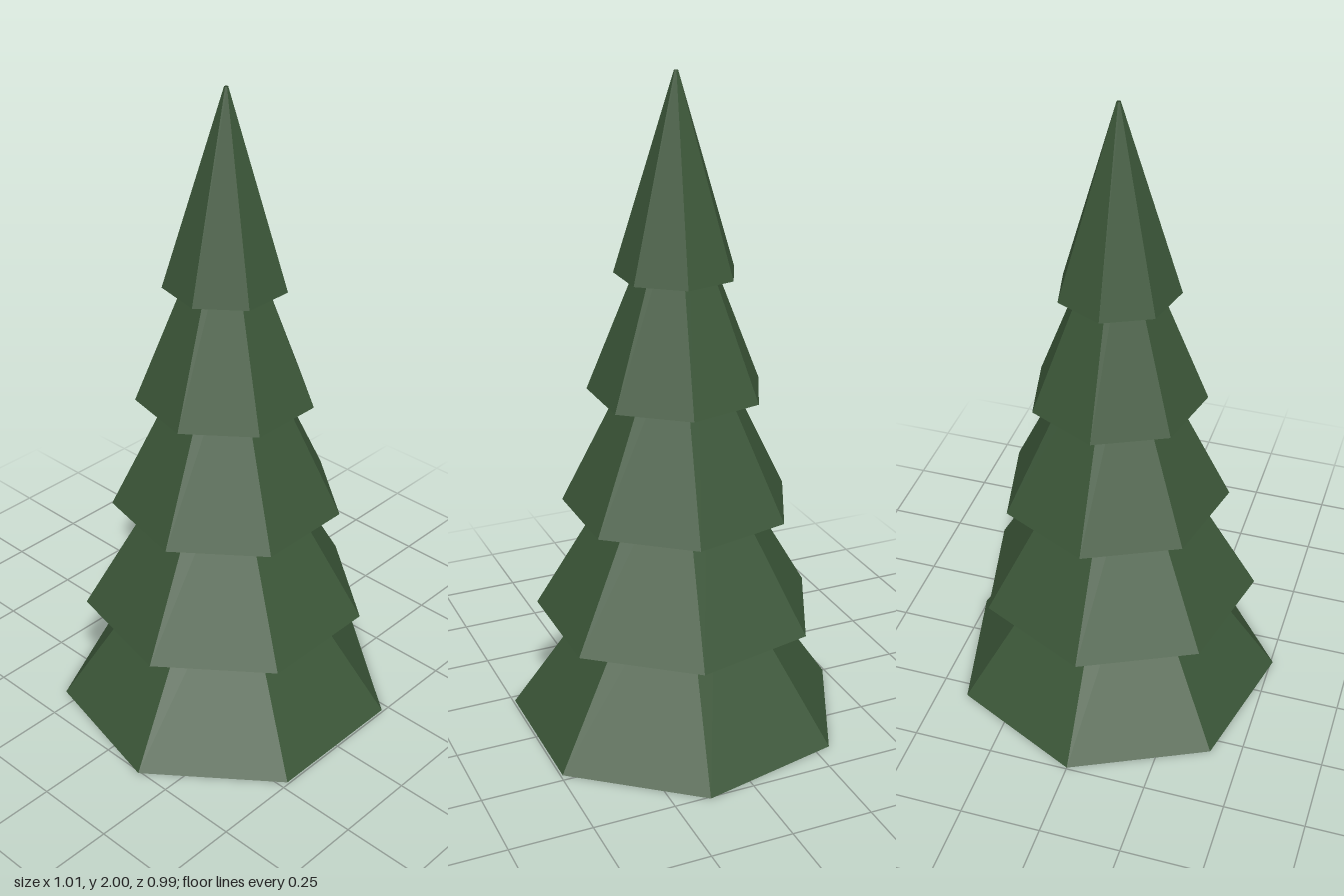
import * as THREE from 'three';

export function createModel() {
  const tree = new THREE.Group();
  tree.name = 'pineTree';

  const needles = new THREE.MeshStandardMaterial({ color: 0x3b5638, side: THREE.DoubleSide, flatShading: true });
  needles.name = 'needleGreen';

  // Five overlapping, hollow seven-sided skirts, each a little off the axis
  const count = 5, step = 0.356, height = 0.576;
  const offsets = [0, -0.005, 0.005, -0.003, -0.004];

  for (let i = 0; i < count; i++) {
    const bottom = 0.52 - 0.0845 * i;
    const top = 0.128 - 0.0305 * i;
    const geometry = new THREE.CylinderGeometry(top, bottom, height, 7, 1, true);
    geometry.rotateY(Math.PI); // one corner points to the back
    const tier = new THREE.Mesh(geometry, needles);
    tier.name = 'branchTier' + (i + 1);
    tier.position.set(offsets[i], i * step + height / 2, 0.025);
    tree.add(tier);
  }
  return tree;
}
